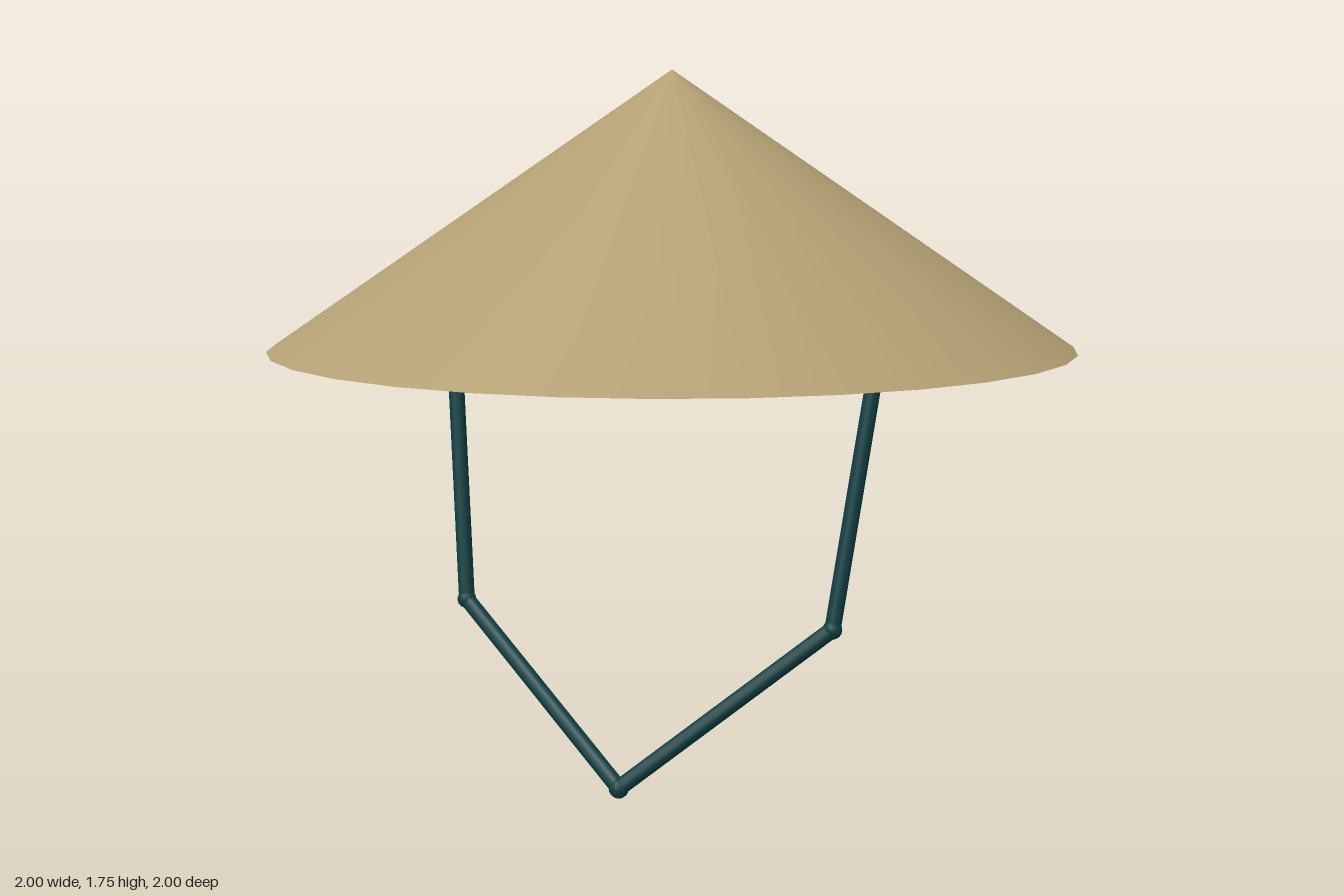
import * as THREE from 'three';

const straw = new THREE.MeshStandardMaterial({ color: 0xb39f73 });
const cord = new THREE.MeshStandardMaterial({ color: 0x0f3f42 });
const SIDES = 32;

// One ring of the hat, swept from a two-point profile [radius, height]
function sweep(name, from, to) {
  const profile = [new THREE.Vector2(...from), new THREE.Vector2(...to)];
  const geometry = new THREE.LatheGeometry(profile, SIDES, Math.PI / SIDES);
  const mesh = new THREE.Mesh(geometry, straw);
  mesh.name = name;
  return mesh;
}

// Round bar between two points
function bar(name, a, b, radius) {
  const along = b.clone().sub(a);
  const mesh = new THREE.Mesh(new THREE.CylinderGeometry(radius, radius, along.length(), 12), cord);
  mesh.position.copy(a).add(b).multiplyScalar(0.5);
  mesh.quaternion.setFromUnitVectors(new THREE.Vector3(0, 1, 0), along.normalize());
  mesh.name = name;
  return mesh;
}

// Rounded knot at a bend or end of the strap
function knot(name, at, radius) {
  const mesh = new THREE.Mesh(new THREE.SphereGeometry(radius, 12, 8), cord);
  mesh.position.copy(at);
  mesh.name = name;
  return mesh;
}

export function createModel() {
  const model = new THREE.Group();
  model.name = 'conicalHat';

  // Conical shell with a thin flat rim and an inner lining
  const hat = new THREE.Group();
  hat.name = 'hat';
  const R = 1 / Math.cos(Math.PI / SIDES);
  hat.add(
    sweep('outerShell', [R, 1.065], [0, 1.75]),
    sweep('rim', [R - 0.035, 1.065], [R, 1.065]),
    sweep('lining', [0, 1.726], [R - 0.035, 1.065]),
  );
  model.add(hat);

  // Chin strap: two mirrored sides meeting under the chin
  const strap = new THREE.Group();
  strap.name = 'chinStrap';
  const chin = new THREE.Vector3(0, 0.03, 0.39);
  strap.add(knot('chinKnot', chin, 0.025));
  for (const [side, s] of [['left', 1], ['right', -1]]) {
    const jaw = new THREE.Vector3(s * 0.48, 0.42, 0.21);
    const top = new THREE.Vector3(s * 0.585, 1.32, 0.06);
    strap.add(
      bar(side + 'LowerStrap', chin, jaw, 0.02),
      bar(side + 'UpperStrap', jaw, top, 0.02),
      knot(side + 'JawKnot', jaw, 0.024),
      knot(side + 'StrapEnd', top, 0.02),
    );
  }
  model.add(strap);
  return model;
}
